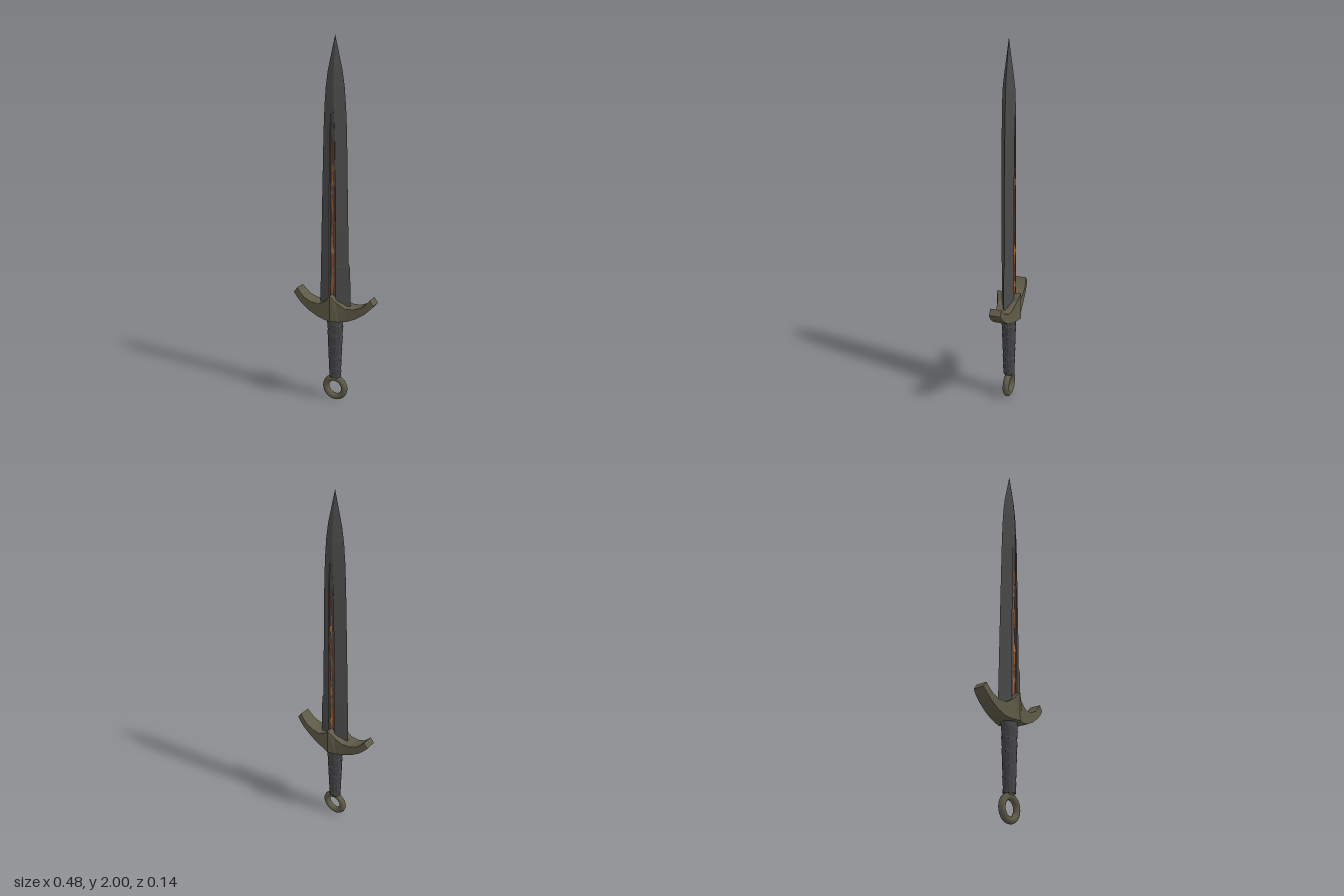
import * as THREE from 'three';

const mat = (name, color, extra = {}) => {
  const m = new THREE.MeshStandardMaterial({ color, ...extra });
  m.name = name;
  return m;
};

// Flat-shaded skin through equal-length loops of points, closed at both ends
function loft(loops) {
  const pos = [];
  const tri = (a, b, c) => pos.push(...a, ...b, ...c);
  const n = loops[0].length;
  const centre = (loop) => [0, 1, 2].map((k) => loop.reduce((s, p) => s + p[k], 0) / n);
  const last = loops[loops.length - 1];
  const c0 = centre(loops[0]), c1 = centre(last);
  for (let i = 0; i < n; i++) {
    const j = (i + 1) % n;
    for (let s = 0; s < loops.length - 1; s++) {
      const a = loops[s], b = loops[s + 1];
      tri(a[i], a[j], b[j]);
      tri(a[i], b[j], b[i]);
    }
    tri(c0, loops[0][j], loops[0][i]);
    tri(c1, last[i], last[j]);
  }
  const g = new THREE.BufferGeometry();
  g.setAttribute('position', new THREE.Float32BufferAttribute(pos, 3));
  g.computeVertexNormals();
  return g;
}

function seeded(seed) {
  return () => (seed = (seed * 16807) % 2147483647) / 2147483647;
}

// Ragged vertical streak, lying in the xy plane
function streak(y0, y1, width, seed) {
  const rand = seeded(seed);
  const steps = Math.max(6, Math.round((y1 - y0) / 0.025));
  const left = [], right = [];
  for (let i = 0; i <= steps; i++) {
    const t = i / steps;
    const y = y0 + (y1 - y0) * t;
    const mid = 0.003 * Math.sin(y * 23 + seed);
    const w = width * (0.35 + 0.65 * rand()) * (1 - 0.6 * t);
    left.push(new THREE.Vector2(mid - w, y));
    right.unshift(new THREE.Vector2(mid + w, y));
  }
  return new THREE.ShapeGeometry(new THREE.Shape([...right, ...left]));
}

export function createModel() {
  const root = new THREE.Group();
  root.name = 'dagger';
  const steel = mat('dark steel', 0x4b4b4c);
  const bronze = mat('aged bronze', 0x5f5a47);
  const leather = mat('grip leather', 0x454547);
  const rust = mat('dark rust', 0x5a3320);
  const orange = mat('orange rust', 0xa65a22);
  const ochre = mat('pale rust', 0xb9783f);
  const add = (name, geo, material, parent = root) => {
    const m = new THREE.Mesh(geo, material);
    m.name = name;
    parent.add(m);
    return m;
  };

  // Blade: y, left width, right width, half depth, groove half width, groove depth
  const blade = [
    [0.53, 0.092, 0.095, 0.034, 0.02, 0.007],
    [0.80, 0.086, 0.088, 0.034, 0.02, 0.007],
    [0.83, 0.085, 0.078, 0.034, 0.02, 0.007],
    [1.0, 0.081, 0.077, 0.034, 0.019, 0.007],
    [1.3, 0.073, 0.071, 0.034, 0.017, 0.006],
    [1.52, 0.067, 0.067, 0.034, 0.014, 0.004],
    [1.65, 0.061, 0.061, 0.034, 0.008, 0],
    [1.75, 0.053, 0.053, 0.032, 0.005, 0],
    [1.83, 0.041, 0.041, 0.023, 0.004, 0],
    [1.91, 0.022, 0.022, 0.012, 0.002, 0],
    [2.0, 0.0005, 0.0005, 0.0005, 0.0002, 0],
  ];
  add('blade', loft(blade.map(([y, wl, wr, d, g, h]) => {
    const face = [[-g, d], [-g * 0.75, d - h], [g * 0.75, d - h], [g, d]];
    return [
      [-wl, y, 0], ...face.map(([x, z]) => [x, y, z]),
      [wr, y, 0], ...face.map(([x, z]) => [-x, y, -z]),
    ];
  })), steel);

  // Rust in the grooves on both faces
  [0, 1].forEach((side) => {
    const group = new THREE.Group();
    group.name = side ? 'backRust' : 'frontRust';
    group.rotation.y = side * Math.PI;
    root.add(group);
    add('darkStreak', streak(0.56, 1.51, 0.014, 71 + side), rust, group).position.z = 0.0312;
    add('orangeStreak', streak(0.56, 1.36, 0.011, 913 + side), orange, group).position.z = 0.0322;
    const spots = side ? [[0.68, 0.05], [0.87, 0.06], [1.25, 0.05]] : [[0.88, 0.04], [1.25, 0.03]];
    spots.forEach(([y, h], i) => {
      add('paleSpot', streak(y, y + h, side ? 0.016 : 0.01, 37 + i * 50), ochre, group).position.z = 0.0345;
    });
  });

  // Crossguard: bottom x, bottom y, top x, top y, half depth; mirrored about the middle
  const half = [
    [0, 0.5, 0, 0.65, 0.069],
    [0.045, 0.5, 0.03, 0.61, 0.054],
    [0.09, 0.508, 0.08, 0.58, 0.045],
    [0.14, 0.53, 0.13, 0.583, 0.04],
    [0.19, 0.565, 0.172, 0.6, 0.037],
    [0.22, 0.595, 0.2, 0.625, 0.035],
    [0.24, 0.619, 0.218, 0.648, 0.031],
  ];
  const mirrored = half.slice(1).reverse().map(([bx, by, tx, ty, d]) => [-bx, by, -tx, ty, d]);
  add('crossguard', loft([...mirrored, ...half].map(([bx, by, tx, ty, d]) => [
    [tx, ty, -d], [tx, ty, d], [bx, by, d], [bx, by, -d],
  ])), bronze);

  // Grip: tapered, with the slanting overlaps of a leather wrap
  const grip = new THREE.CylinderGeometry(1, 1, 0.36, 14, 40);
  const p = grip.attributes.position;
  for (let i = 0; i < p.count; i++) {
    const x = p.getX(i), z = p.getZ(i), y = p.getY(i) + 0.325;
    const t = (y - 0.145) / 0.36;
    const turn = y / 0.068 + Math.atan2(x, z) / (2 * Math.PI);
    const wrap = 1 + 0.08 * (turn - Math.floor(turn) - 0.5);
    p.setXYZ(i, x * (0.033 + 0.014 * t) * wrap, y, z * (0.031 + 0.009 * t) * wrap);
  }
  const gripFlat = grip.toNonIndexed();
  gripFlat.computeVertexNormals();
  add('grip', gripFlat, leather);

  // Pommel ring and the collar that joins it to the grip
  const ring = add('pommelRing', new THREE.TorusGeometry(0.057, 0.018, 10, 28), bronze);
  ring.position.y = 0.075;
  const collar = add('pommelCollar', new THREE.CylinderGeometry(0.034, 0.026, 0.022, 12), bronze);
  collar.position.y = 0.147;
  collar.scale.z = 0.85;

  return root;
}
